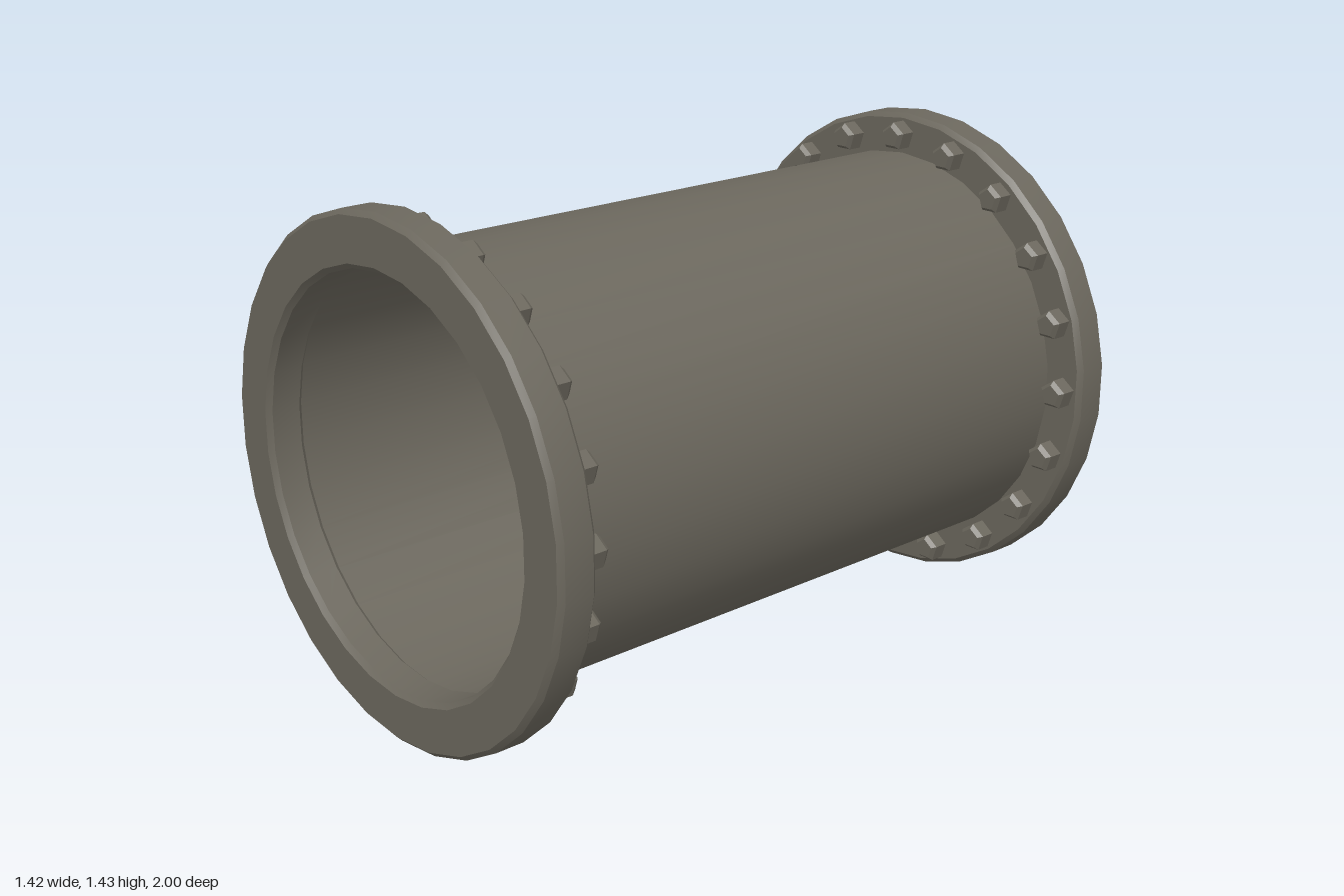
import * as THREE from 'three';
import { toCreasedNormals } from 'three/addons/utils/BufferGeometryUtils.js';

const SIDES = 30, RADIUS = 0.715, BOLTS = 20, BOLT_CIRCLE = 0.65;

// Revolve an [r, h] profile; facets meeting at over 25 degrees stay sharp
function revolve(profile, sides) {
  const points = profile.map(([r, h]) => new THREE.Vector2(r, h));
  return toCreasedNormals(new THREE.LatheGeometry(points, sides), THREE.MathUtils.degToRad(25));
}

export function createModel() {
  const group = new THREE.Group();
  const metal = new THREE.MeshStandardMaterial({ color: 0x6b675d });
  metal.name = 'dull grey metal';

  const add = (name, geometry, parent) => {
    const mesh = new THREE.Mesh(geometry, metal);
    mesh.name = name;
    parent.add(mesh);
    return mesh;
  };

  // Hollow pipe along z
  const pipe = revolve([
    [0.58, -0.95], [0.596, -0.95], [0.596, 0.95], [0.58, 0.95], [0.58, -0.95],
  ], SIDES).rotateX(Math.PI / 2);
  add('pipe', pipe, group).position.y = RADIUS;

  // Flange ring with chamfered edges
  const b = 0.014, inner = 0.564, half = 0.056;
  const flange = revolve([
    [inner, -half + b], [inner + b, -half], [RADIUS - b, -half], [RADIUS, -half + b],
    [RADIUS, half - b], [RADIUS - b, half], [inner + b, half], [inner, half - b], [inner, -half + b],
  ], SIDES).rotateX(Math.PI / 2);

  // Five-sided bolt head with a chamfered top, one corner pointing up
  const boltProfile = [[0.043, -0.01], [0.043, 0.043], [0.031, 0.056], [0, 0.056]];

  for (const side of [1, -1]) {
    const end = new THREE.Group();
    end.name = side > 0 ? 'frontEnd' : 'backEnd';
    end.position.y = RADIUS;
    group.add(end);
    add('flange', flange, end).position.z = side * (1 - half);

    // Heads point toward the middle of the pipe
    const bolt = revolve(boltProfile, 5).rotateX(-side * Math.PI / 2);
    if (side < 0) bolt.rotateZ(Math.PI);
    for (let i = 0; i < BOLTS; i++) {
      const a = (i / BOLTS) * Math.PI * 2;
      add('bolt', bolt, end).position.set(
        BOLT_CIRCLE * Math.cos(a), BOLT_CIRCLE * Math.sin(a), side * (1 - 2 * half));
    }
  }
  return group;
}
